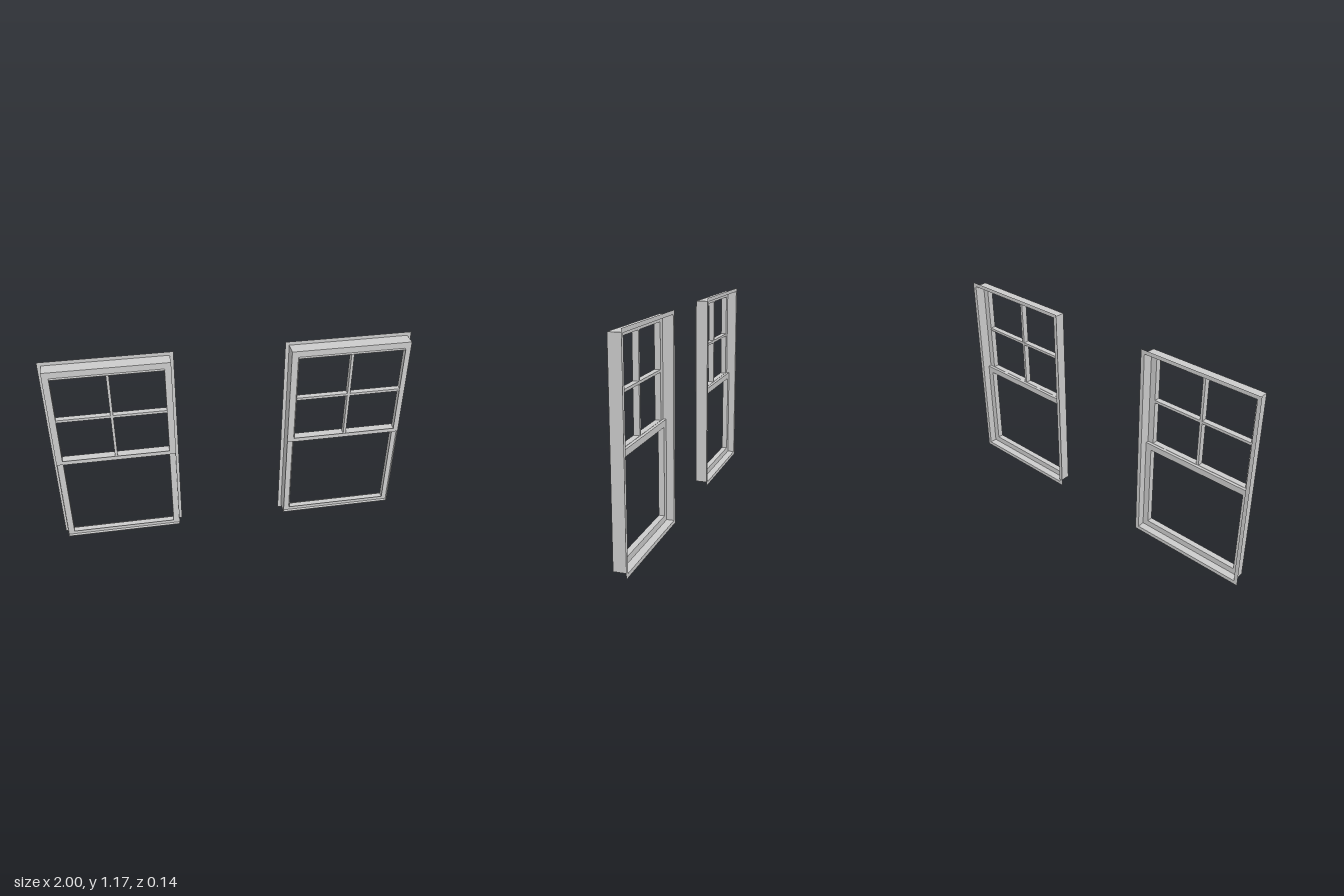
import * as THREE from 'three';

const material = new THREE.MeshStandardMaterial({ color: 0xcccccc, side: THREE.DoubleSide });

function rectPoints(hw, y0, y1) {
  return [[-hw, y0], [hw, y0], [hw, y1], [-hw, y1]].map(([x, y]) => new THREE.Vector2(x, y));
}

function addMesh(group, name, geometry) {
  const mesh = new THREE.Mesh(geometry, material);
  mesh.name = name;
  group.add(mesh);
  return mesh;
}

// Rectangular ring: opening (hw, y0..y1) surrounded by a border; depth 0 makes a flat sheet
function ring(group, name, hw, y0, y1, border, z0, z1) {
  const shape = new THREE.Shape(rectPoints(hw + border, y0 - border, y1 + border));
  shape.holes.push(new THREE.Path(rectPoints(hw, y0, y1).reverse()));
  const depth = z1 - z0;
  const geometry = depth > 0
    ? new THREE.ExtrudeGeometry(shape, { depth, bevelEnabled: false })
    : new THREE.ShapeGeometry(shape);
  addMesh(group, name, geometry).position.z = z0;
}

// Sash: flat rails and stiles, with a thin glazing lip standing proud of the front
function sash(name, y0, y1, zBack) {
  const group = new THREE.Group();
  group.name = name;
  const t = 0.0165;
  ring(group, name + 'Rails', 0.295, y0, y1, 0.034, zBack, zBack + t);
  ring(group, name + 'GlazingLip', 0.2935, y0 + 0.0015, y1 - 0.0015, 0.0015, zBack, zBack + 2 * t);
  return group;
}

function windowUnit(name) {
  const unit = new THREE.Group();
  unit.name = name;

  // Nailing flange and jamb box
  ring(unit, 'flange', 0.33, 0.021, 1.146, 0.0205, -0.045, -0.045);
  ring(unit, 'jambBox', 0.3285, 0.0225, 1.1445, 0.0015, -0.045, 0.03);

  // Upper sash sits in front of the lower one
  const upper = sash('upperSash', 0.59, 1.111, 0.0135);
  unit.add(upper, sash('lowerSash', 0.056, 0.556, -0.003));

  // Crossed muntins of the upper sash
  const depth = 0.033;
  const midZ = 0.0135 + depth / 2;
  addMesh(upper, 'verticalMuntin', new THREE.BoxGeometry(0.015, 0.521, depth))
    .position.set(0, 0.8505, midZ);
  addMesh(upper, 'horizontalMuntin', new THREE.BoxGeometry(0.59, 0.015, depth - 0.001))
    .position.set(0, 0.855, midZ);
  return unit;
}

export function createModel() {
  const model = new THREE.Group();
  model.name = 'windowPair';
  for (const [name, x] of [['leftWindow', 0.65], ['rightWindow', -0.65]]) {
    const unit = windowUnit(name);
    unit.position.x = x;
    model.add(unit);
  }
  // The pair is turned very slightly about the vertical axis
  model.rotation.y = 0.025;
  return model;
}
